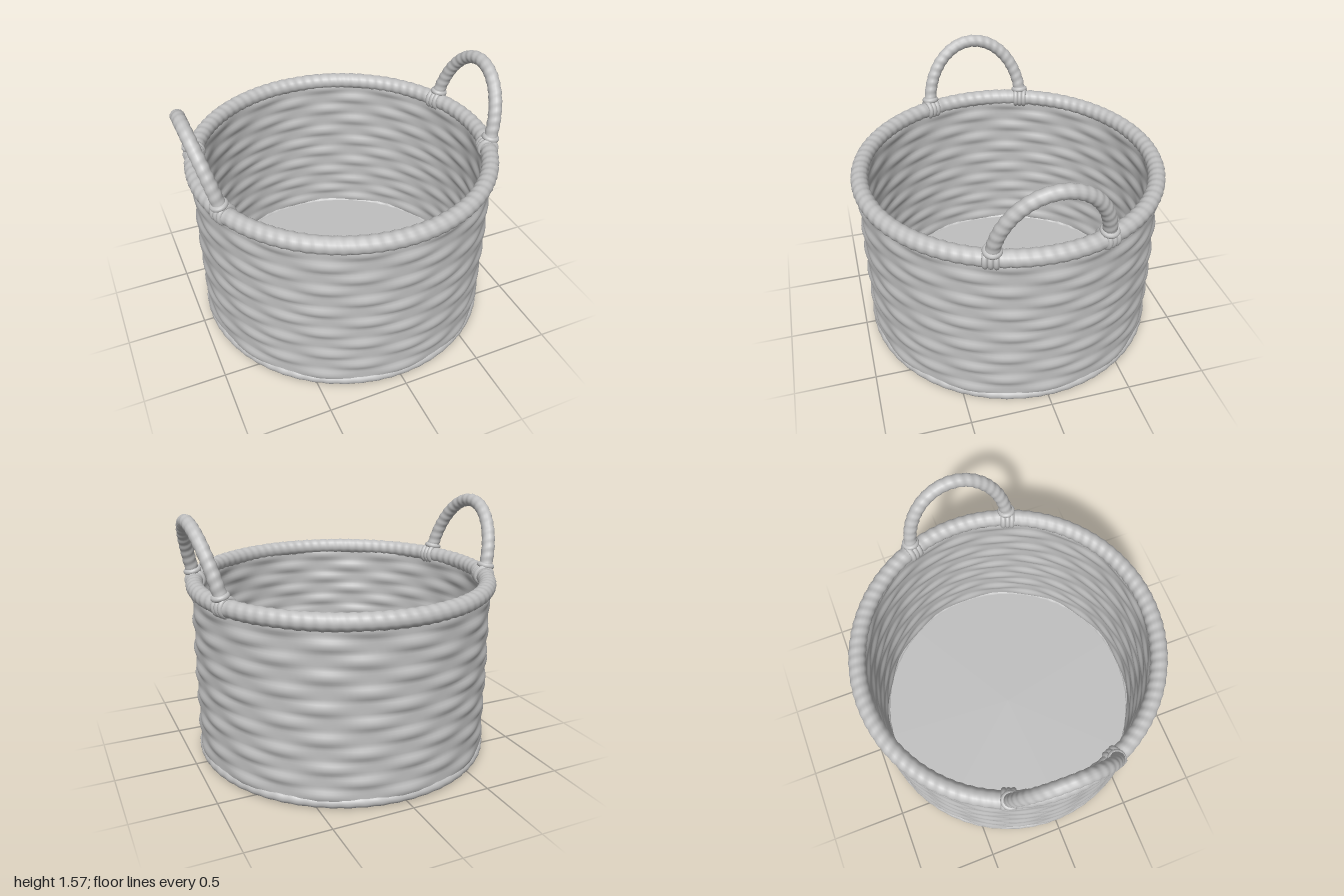
import * as THREE from 'three';
import { mergeVertices } from 'three/addons/utils/BufferGeometryUtils.js';

const TAU = Math.PI * 2;
const ROWS = 12, WAVES = 12;
const WALL_LOW = 0.04, WALL_HIGH = 1.1;

// Weld the seam and shade smoothly
function smooth(geo) {
  geo.deleteAttribute('uv');
  geo.deleteAttribute('normal');
  const welded = mergeVertices(geo, 1e-5);
  welded.computeVertexNormals();
  return welded;
}

// Wall of rounded strands that pass alternately over and under the stakes
function wovenWall(radius, inside) {
  const perRow = 6, points = [];
  for (let i = 0; i <= ROWS * perRow; i++) {
    const t = i / (ROWS * perRow);
    points.push(new THREE.Vector2(radius, WALL_LOW + (WALL_HIGH - WALL_LOW) * t));
  }
  if (inside) points.reverse();
  const geo = new THREE.LatheGeometry(points, 144);
  const p = geo.attributes.position;
  for (let i = 0; i < p.count; i++) {
    const x = p.getX(i), y = p.getY(i), z = p.getZ(i);
    const a = Math.atan2(x, z);
    const v = (y - WALL_LOW) / (WALL_HIGH - WALL_LOW) * ROWS + 0.12 * Math.sin(3 * a) * Math.sin(y * 5);
    const row = Math.floor(v), bulge = Math.sin(Math.PI * (v - row));
    const over = Math.cos(WAVES * a + Math.PI * row + 0.4 * Math.sin(row * 2.3));
    const push = bulge * (0.008 + 0.008 * over) - 0.004;
    const k = (radius + (inside ? -push : push)) / radius;
    p.setXYZ(i, x * k, y, z * k);
  }
  return smooth(geo);
}

// Tube with a shallow spiral wrap
function wrappedTube(curve, length, radius, turns, depth, closed) {
  const geo = new THREE.TubeGeometry(curve, length, radius, 14, closed);
  const { position: p, normal: n, uv } = geo.attributes;
  for (let i = 0; i < p.count; i++) {
    const d = depth * Math.cos(TAU * (turns * uv.getX(i) + uv.getY(i)));
    p.setXYZ(i, p.getX(i) + n.getX(i) * d, p.getY(i) + n.getY(i) * d, p.getZ(i) + n.getZ(i) * d);
  }
  return smooth(geo);
}

class Loop extends THREE.Curve {
  constructor(radius, y) { super(); this.radius = radius; this.y = y; }
  getPoint(t, out = new THREE.Vector3()) {
    return out.set(this.radius * Math.sin(TAU * t), this.y, this.radius * Math.cos(TAU * t));
  }
}

// Arch that leans outward as it rises
class Arch extends THREE.Curve {
  constructor(side) { super(); this.side = side; }
  getPoint(t, out = new THREE.Vector3()) {
    const a = Math.PI * t, s = Math.sin(a);
    return out.set(this.side * (0.86 + 0.1 * s), 1.12 + 0.413 * s, 0.327 * Math.cos(a));
  }
}

export function createModel() {
  const group = new THREE.Group();
  const wicker = new THREE.MeshStandardMaterial({ color: 0xc0c0c0 });
  wicker.name = 'wickerGrey';
  const add = (name, geo, parent = group) => {
    const mesh = new THREE.Mesh(geo, wicker);
    mesh.name = name;
    parent.add(mesh);
    return mesh;
  };

  // Body
  add('outerWall', wovenWall(0.933, false));
  add('innerWall', wovenWall(0.885, true));
  const base = add('base', new THREE.CylinderGeometry(0.915, 0.915, 0.05, 96));
  base.position.y = 0.025;
  add('baseEdge', wrappedTube(new Loop(0.908, 0.036), 360, 0.035, 60, 0.0015, true));
  add('rim', wrappedTube(new Loop(0.916, 1.108), 540, 0.052, 90, 0.002, true));

  // Handles with their bindings
  for (const side of [1, -1]) {
    const handle = new THREE.Group();
    handle.name = side > 0 ? 'leftHandle' : 'rightHandle';
    group.add(handle);
    add('handleArch', wrappedTube(new Arch(side), 160, 0.041, 22, 0.0015, false), handle);
    for (const end of [1, -1]) {
      for (const offset of [-0.032, 0, 0.032]) {
        const angle = Math.atan2(side * 0.855, end * 0.327) + offset;
        const wrap = add('rimBinding', new THREE.TorusGeometry(0.05, 0.017, 10, 28), handle);
        wrap.position.set(0.914 * Math.sin(angle), 1.11, 0.914 * Math.cos(angle));
        wrap.rotation.y = angle + Math.PI / 2;
      }
      const collar = add('footCollar', new THREE.TorusGeometry(0.038, 0.018, 10, 28), handle);
      collar.position.set(side * 0.872, 1.168, end * 0.325);
      collar.rotation.set(Math.PI / 2, -side * 0.22, 0);
    }
  }
  return group;
}
